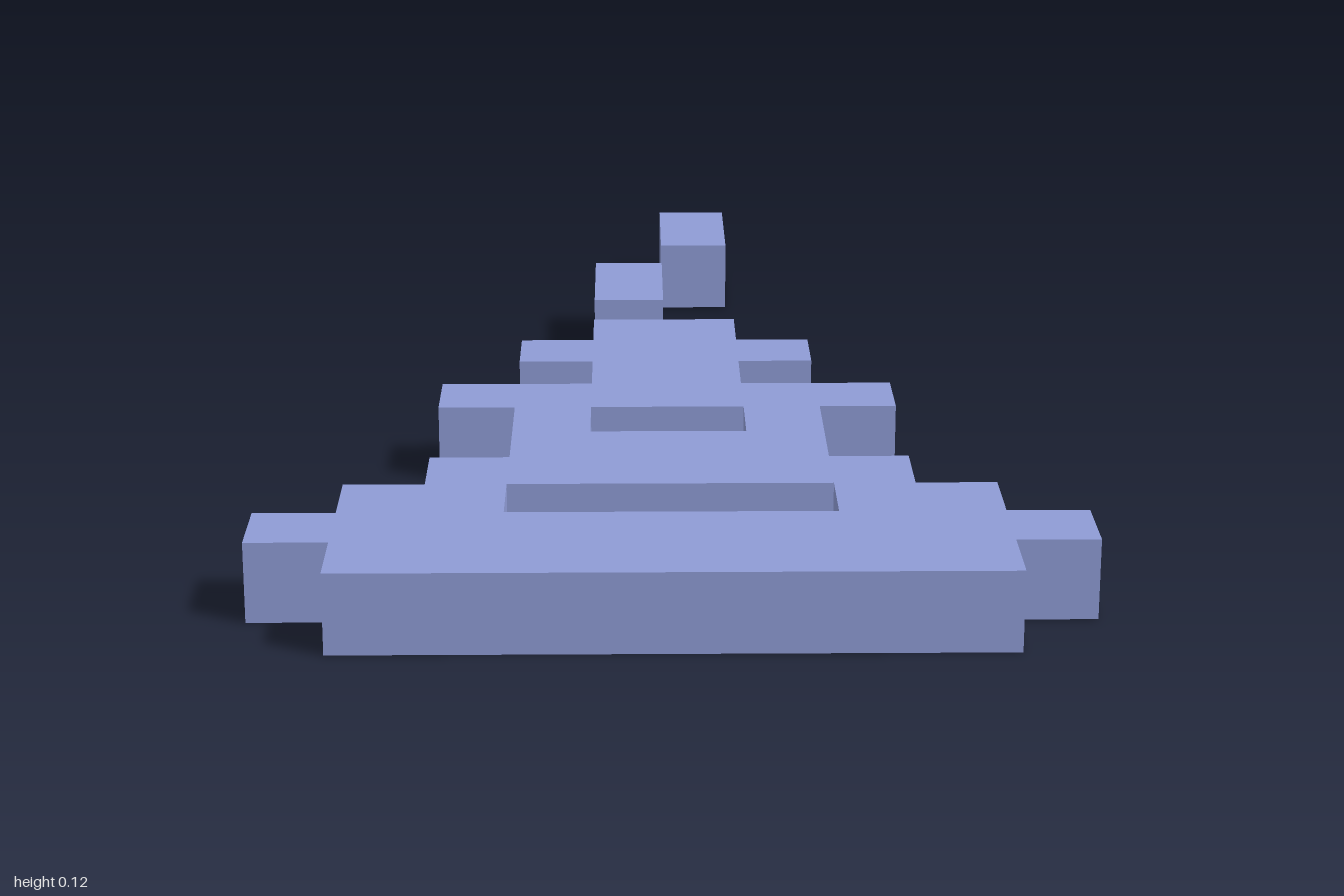
import * as THREE from 'three';

const U = 0.125; // one grid cell
const material = new THREE.MeshStandardMaterial({ color: 0x8e9bd5 });

// Rows of the stepped body, back to front: [start z, end z, half width] in cells
const rows = [
  [-2, -1, 1], [-1, 0, 2], [0, 1, 1], [1, 2, 3], [2, 4, 2],
  [4, 5, 3], [5, 6, 4], [6, 7, 5], [7, 8, 4],
];

// Slots through the body: [start z, end z, half width] in cells
const slots = [[2, 3, 1], [5, 6, 2]];

// Mirrored stepped outline, counter-clockwise; shape y is -z
function outline(list) {
  const left = list.flatMap(([z0, z1, w]) => [
    new THREE.Vector2(-w * U, -z0 * U),
    new THREE.Vector2(-w * U, -z1 * U),
  ]);
  const right = left.map((p) => new THREE.Vector2(-p.x, p.y)).reverse();
  return [...left, ...right];
}

function addPart(group, name, geometry) {
  const mesh = new THREE.Mesh(geometry, material);
  mesh.name = name;
  group.add(mesh);
  return mesh;
}

export function createModel() {
  const group = new THREE.Group();
  group.name = 'steppedPixelTower';

  // Stepped plate with two slots, lying flat
  const shape = new THREE.Shape(outline(rows));
  for (const slot of slots) shape.holes.push(new THREE.Path(outline([slot])));
  const body = new THREE.ExtrudeGeometry(shape, { depth: U, bevelEnabled: false });
  body.rotateX(-Math.PI / 2);
  addPart(group, 'towerBody', body);

  // Two loose blocks staggered behind the tip
  for (const [name, x, z] of [['nearBlock', -0.5, -4], ['farBlock', 0.5, -7]]) {
    addPart(group, name, new THREE.BoxGeometry(U, U, 2 * U)).position.set(x * U, U / 2, z * U);
  }
  return group;
}
